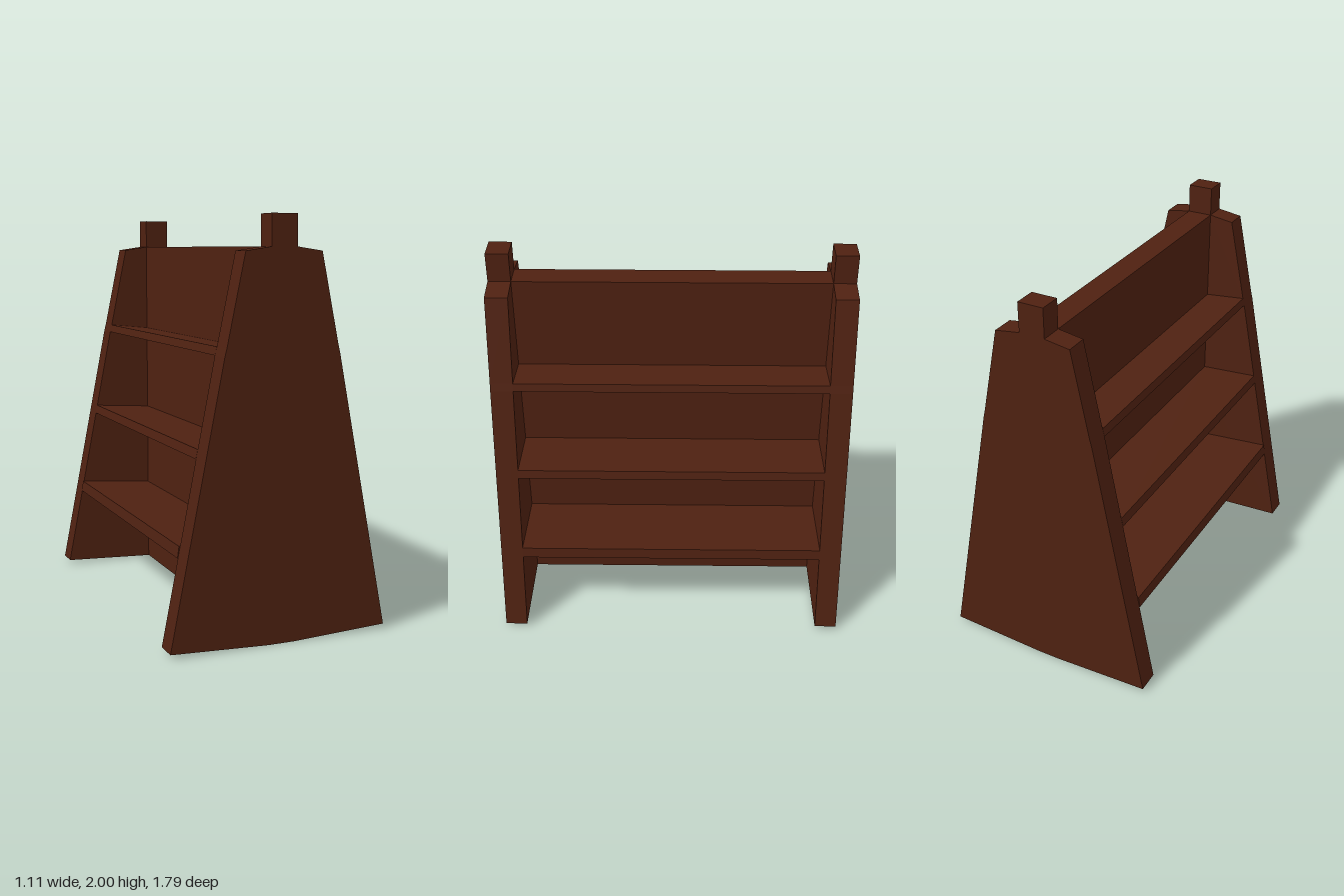
import * as THREE from 'three';

const INNER = 0.78, OUTER = 0.893, CORE = 0.065;

export function createModel() {
  const group = new THREE.Group();
  const wood = new THREE.MeshStandardMaterial({ color: 0x4f2111, flatShading: true });

  // Extrudes an x-y outline from z0 to z1
  function plank(name, points, z0, z1) {
    const shape = new THREE.Shape(points.map(([x, y]) => new THREE.Vector2(x, y)));
    const geometry = new THREE.ExtrudeGeometry(shape, { depth: z1 - z0, bevelEnabled: false });
    geometry.translate(0, 0, z0);
    const mesh = new THREE.Mesh(geometry, wood);
    mesh.name = name;
    group.add(mesh);
  }

  // Upright divider between the two faces of the rack
  plank('centrePanel', [[-CORE, 0], [CORE, 0], [CORE, 1.852], [-CORE, 1.852]], -INNER, INNER);

  // Tapered end boards, each with a square post on top
  const half = [[CORE, 0], [0.557, 0.022], [0.292, 1.363], [0.282, 1.403],
    [0.192, 1.833], [CORE, 1.852], [CORE, 2]];
  const outline = [...half, ...half.map(([x, y]) => [-x, y]).reverse()];
  plank('frontEndBoard', outline, INNER, OUTER);
  plank('backEndBoard', outline, -OUTER, -INNER);

  // Shelves tilt up towards their outer edge:
  // [outer top x, outer top y, outer bottom x, outer bottom y, inner top y, inner bottom y]
  const shelves = [
    [0.47, 0.491, 0.478, 0.435, 0.457, 0.398],
    [0.377, 0.936, 0.386, 0.891, 0.915, 0.867],
    [0.283, 1.403, 0.292, 1.363, 1.38, 1.337],
  ];
  for (const [side, s] of [['left', 1], ['right', -1]]) {
    shelves.forEach(([tx, ty, bx, by, it, ib], i) => {
      plank(`${side}Shelf${i + 1}`,
        [[s * CORE, ib], [s * bx, by], [s * tx, ty], [s * CORE, it]], -INNER, INNER);
    });
  }
  return group;
}
